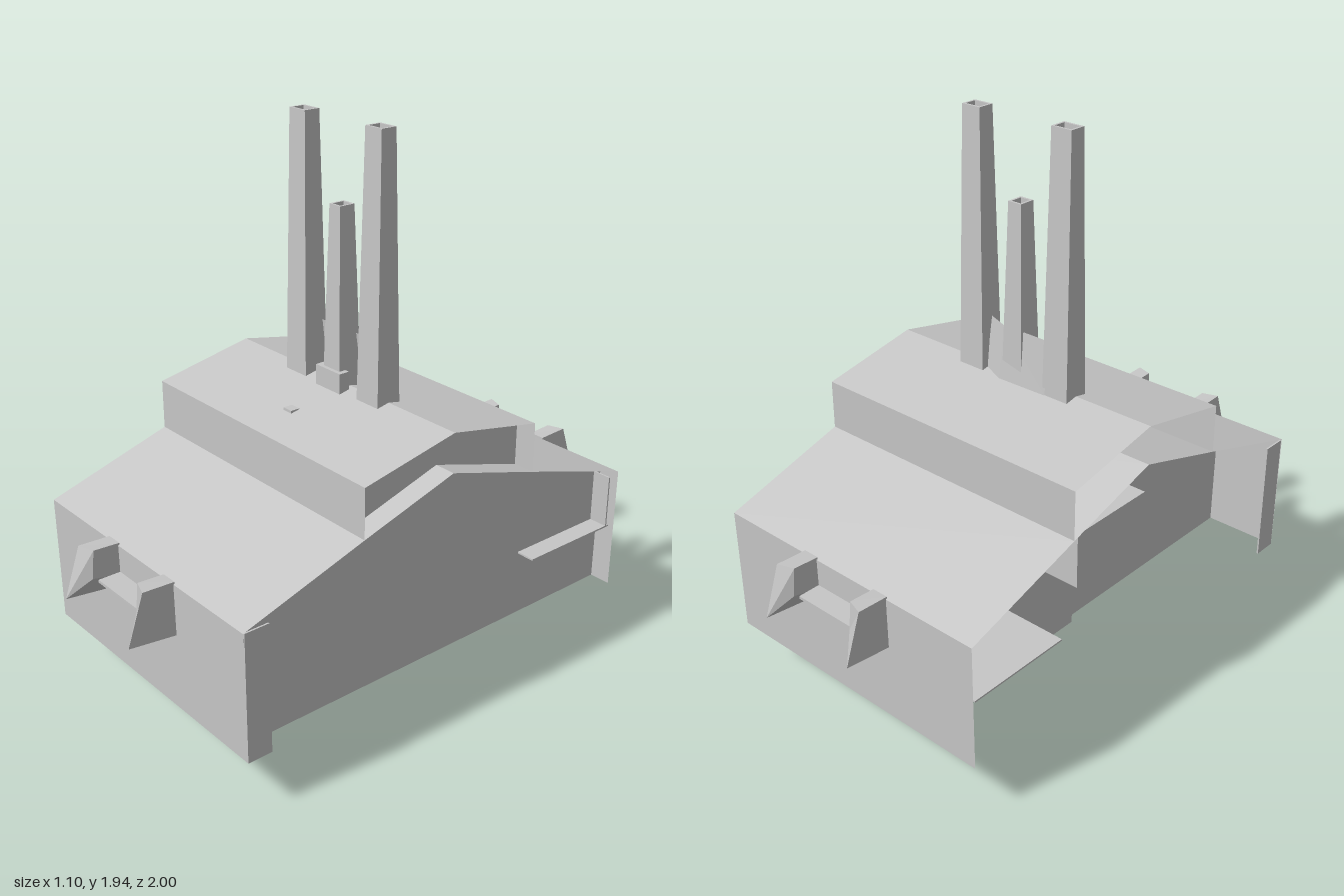
import * as THREE from 'three';

const grey = new THREE.MeshStandardMaterial({ color: 0xc6c6c6, side: THREE.DoubleSide, flatShading: true });
grey.name = 'plain grey';

export function createModel() {
  const model = new THREE.Group();
  model.name = 'gabledMachine';

  const add = (name, geometry) => {
    const mesh = new THREE.Mesh(geometry, grey);
    mesh.name = name;
    model.add(mesh);
    return mesh;
  };

  // Box given by its lower and upper limits on each axis
  const box = (name, x0, x1, y0, y1, z0, z1) => {
    const mesh = add(name, new THREE.BoxGeometry(x1 - x0, y1 - y0, z1 - z0));
    mesh.position.set((x0 + x1) / 2, (y0 + y1) / 2, (z0 + z1) / 2);
    return mesh;
  };

  // Skin between rings of equal point count, with end caps when closed
  const loft = (name, rings, closed = true) => {
    const n = rings[0].length;
    const index = [];
    for (let r = 0; r < rings.length - 1; r++) {
      for (let i = 0; i < (closed ? n : n - 1); i++) {
        const a = r * n + i, b = r * n + (i + 1) % n;
        index.push(a, b, b + n, a, b + n, a + n);
      }
    }
    if (closed) {
      const last = (rings.length - 1) * n;
      for (let i = 1; i < n - 1; i++) index.push(0, i + 1, i, last, last + i, last + i + 1);
    }
    const g = new THREE.BufferGeometry();
    g.setAttribute('position', new THREE.Float32BufferAttribute(rings.flat(2), 3));
    g.setIndex(index);
    const flat = g.toNonIndexed();
    flat.computeVertexNormals();
    return add(name, flat);
  };

  // Folded sheet across the full width, following z and y points
  const sheet = (name, points) =>
    loft(name, [-0.55, 0.55].map(x => points.map(([z, y]) => [x, y, z])), false);

  // Stepped roof with end plates, and the lower gable running on beneath the step
  const half = [[0.825, 0.19], [0.83, 0.647], [0.37, 0.79], [0.37, 0.967]];
  const outline = [...half, [0, 1.04], ...half.map(([z, y]) => [-z, y]).reverse()];
  sheet('roofShell', outline);
  sheet('lowerGable', [[0.37, 0.79], [0, 0.9], [-0.37, 0.79]]);

  // Side walls, set in under the roof
  const wallShape = new THREE.Shape(outline.map(([z, y]) => new THREE.Vector2(-z, y)));
  for (const [name, x] of [['leftWall', 0.47], ['rightWall', -0.27]]) {
    const wall = add(name, new THREE.ShapeGeometry(wallShape));
    wall.rotation.y = Math.PI / 2;
    wall.position.x = x;
  }
  for (const x of [0.547, -0.547]) box('cornerReturn', x - 0.003, x + 0.003, 0.19, 0.645, 0.735, 0.825);

  // Ledges and equipment box on the side walls
  for (const [x0, x1] of [[0.47, 0.54], [-0.54, -0.27]]) {
    box('sideLedge', x0, x1, 0.43, 0.436, -0.81, -0.41);
  }
  box('ledgeUpright', 0.47, 0.54, 0.43, 0.63, -0.8, -0.794);
  box('equipmentBox', -0.41, -0.27, 0.45, 0.66, -0.18, 0.18);

  // Floor, ribs, blocks and round post under the body
  box('floor', -0.27, 0.47, 0.3, 0.306, -0.82, 0.82);
  for (const x of [-0.08, 0.1, 0.28]) box('floorRib', x - 0.004, x + 0.004, 0.19, 0.3, -0.1, 0.82);
  box('underBlock', -0.18, 0.18, 0.11, 0.3, -0.01, 0.36);
  box('baseBlock', -0.135, 0.135, 0, 0.3, -0.135, 0.135);
  const post = add('underPost', new THREE.CylinderGeometry(0.11, 0.11, 0.19, 10));
  post.position.set(0.02, 0.205, -0.255);

  // Wedge hooks and the shelf between them, at both ends
  const outer = [[0.825, 0.655], [0.94, 0.66], [1, 0.485], [0.825, 0.465]];
  const inner = [[0.825, 0.655], [0.92, 0.66], [0.93, 0.56], [0.825, 0.54]];
  for (const end of [1, -1]) {
    for (const side of [1, -1]) {
      const rings = [[0.13, inner], [0.19, outer]].map(([x, pts]) =>
        pts.map(([z, y]) => [x * side, y, z * end]));
      loft('hook', end * side > 0 ? rings.reverse() : rings);
    }
    box('hookShelf', -0.13, 0.13, 0.54, 0.55, end > 0 ? 0.82 : -0.91, end > 0 ? 0.91 : -0.82);
  }

  // Tapered stacks with a sunken top
  const square = (x, y, w, d) => [[-1, 1], [1, 1], [1, -1], [-1, -1]].map(([i, k]) => [x + i * w, y, k * d]);
  for (const [x, top, w0, w1] of [[-0.19, 1.94, 0.053, 0.04], [0.185, 1.94, 0.053, 0.038], [0, 1.66, 0.043, 0.027]]) {
    loft('stack', [
      square(x, 1.02, w0, 0.048), square(x, top, w1, 0.03),
      square(x, top, w1 - 0.008, 0.022), square(x, top - 0.03, w1 - 0.008, 0.022),
    ]);
  }

  // Leaning, bent panel behind the stacks, front foot and roof stud
  loft('stackPanel', [
    [[-0.15, 1.03, -0.05], [0.05, 1.03, -0.055], [0.14, 1.03, -0.02]],
    [[-0.14, 1.22, -0.03], [0.05, 1.22, -0.03], [0.13, 1.22, 0]],
  ], false);
  box('stackFoot', -0.065, 0.06, 1.02, 1.1, 0.02, 0.06);
  box('roofStud', -0.02, 0.02, 0.98, 1.003, 0.2, 0.235);

  return model;
}
